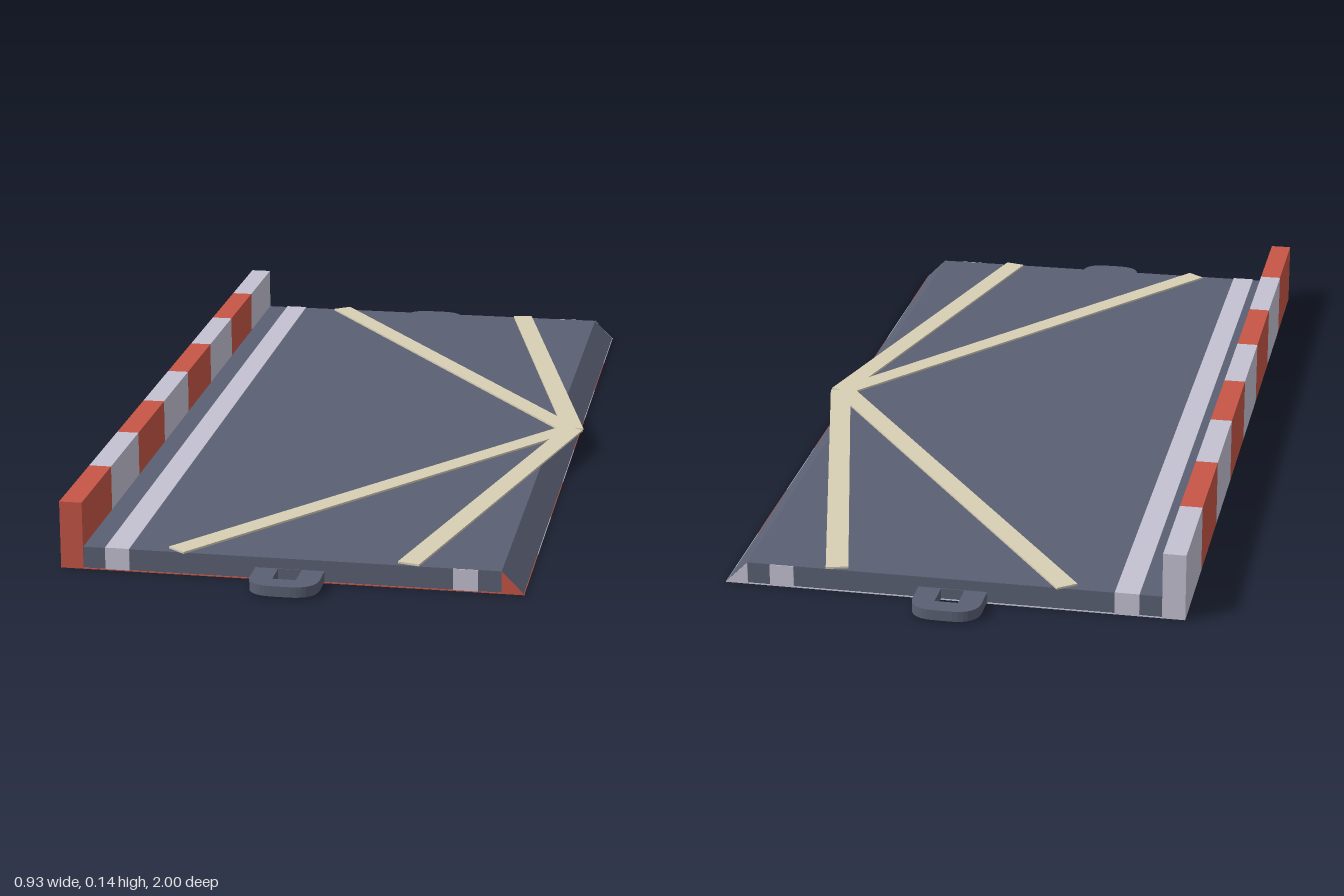
import * as THREE from 'three';

const mat = (name, color) => {
  const m = new THREE.MeshStandardMaterial({ color });
  m.name = name;
  return m;
};

export function createModel() {
  const slate = mat('slate grey', 0x5a6073);
  const white = mat('pale lilac white', 0xc4c2d2);
  const red = mat('brick red', 0xc65546);
  const beige = mat('beige', 0xd8ceb5);

  const model = new THREE.Group();
  model.name = 'loadingPlatform';
  const L = 0.905; // half length of the deck
  const H = 0.045; // deck height

  const add = (name, geometry, material) => {
    const mesh = new THREE.Mesh(geometry, material);
    mesh.name = name;
    model.add(mesh);
    return mesh;
  };
  // Box given by its limits on each axis
  const box = (name, material, x0, x1, y0, y1, z0, z1) => {
    const g = new THREE.BoxGeometry(x1 - x0, y1 - y0, z1 - z0);
    g.translate((x0 + x1) / 2, (y0 + y1) / 2, (z0 + z1) / 2);
    return add(name, g, material);
  };
  // Polygon in the x-y plane, extruded along z
  const prism = (name, material, points, z0, z1) => {
    const shape = new THREE.Shape(points.map(([x, y]) => new THREE.Vector2(x, y)));
    const g = new THREE.ExtrudeGeometry(shape, { depth: z1 - z0, bevelEnabled: false });
    g.translate(0, 0, z0);
    return add(name, g, material);
  };

  // Deck with a sloping edge on one long side
  prism('deck', slate, [[-0.42, 0.002], [0.443, 0.002], [0.4, H], [-0.42, H]], -L + 0.002, L - 0.002);

  // Striped kerb wall and striped underside, in eight bands
  const band = (2 * L) / 8;
  for (let i = 0; i < 8; i++) {
    const z1 = L - i * band;
    const m = i % 2 ? white : red;
    box('kerbBand', m, -0.465, -0.42, 0, 0.136, z1 - band, z1);
    box('undersideBand', m, -0.42, 0.444, 0, 0.002, z1 - band, z1);
  }

  // Line along the deck beside the wall
  box('deckLine', white, -0.376, -0.328, H, H + 0.0015, -L, L);

  // Painted marks on both ends, and the coloured ends of the slope
  for (const s of [1, -1]) {
    const z0 = s > 0 ? L - 0.002 : -L;
    const z1 = z0 + 0.002;
    box('endMark', white, -0.376, -0.328, 0.002, H, z0, z1);
    box('endMark', white, 0.307, 0.355, 0.002, H, z0, z1);
    prism('slopeEnd', s > 0 ? red : white, [[0.4, 0], [0.445, 0], [0.4, H]], z0, z1);
  }

  // Thin battens meeting at the sloping edge
  const batten = (x0, z0, x1, z1) => {
    const dx = x1 - x0, dz = z1 - z0;
    const mesh = add('batten', new THREE.BoxGeometry(0.044, 0.004, Math.hypot(dx, dz)), beige);
    mesh.position.set((x0 + x1) / 2, 0.048, (z0 + z1) / 2);
    mesh.rotation.y = Math.atan2(dx, dz);
  };
  for (const s of [1, -1]) {
    batten(-0.235, s * 0.9, 0.432, 0);
    batten(0.22, s * 0.9, 0.441, 0);
  }

  // Towing loops at both ends
  const loop = new THREE.Shape();
  loop.moveTo(-0.068, -0.02);
  loop.lineTo(0.068, -0.02);
  loop.lineTo(0.068, 0.05);
  loop.quadraticCurveTo(0.066, 0.093, 0.02, 0.095);
  loop.lineTo(-0.02, 0.095);
  loop.quadraticCurveTo(-0.066, 0.093, -0.068, 0.05);
  loop.closePath();
  const hole = new THREE.Path();
  hole.moveTo(-0.023, 0);
  hole.lineTo(-0.023, 0.055);
  hole.lineTo(0.023, 0.055);
  hole.lineTo(0.023, 0);
  hole.closePath();
  loop.holes.push(hole);
  const loopGeometry = new THREE.ExtrudeGeometry(loop, { depth: 0.021, bevelEnabled: false, curveSegments: 8 });
  loopGeometry.rotateX(Math.PI / 2);
  for (const s of [1, -1]) {
    const mesh = add('towingLoop', loopGeometry, slate);
    mesh.position.set(-0.0105, 0.024, s * L);
    if (s < 0) mesh.rotation.y = Math.PI;
  }

  return model;
}
